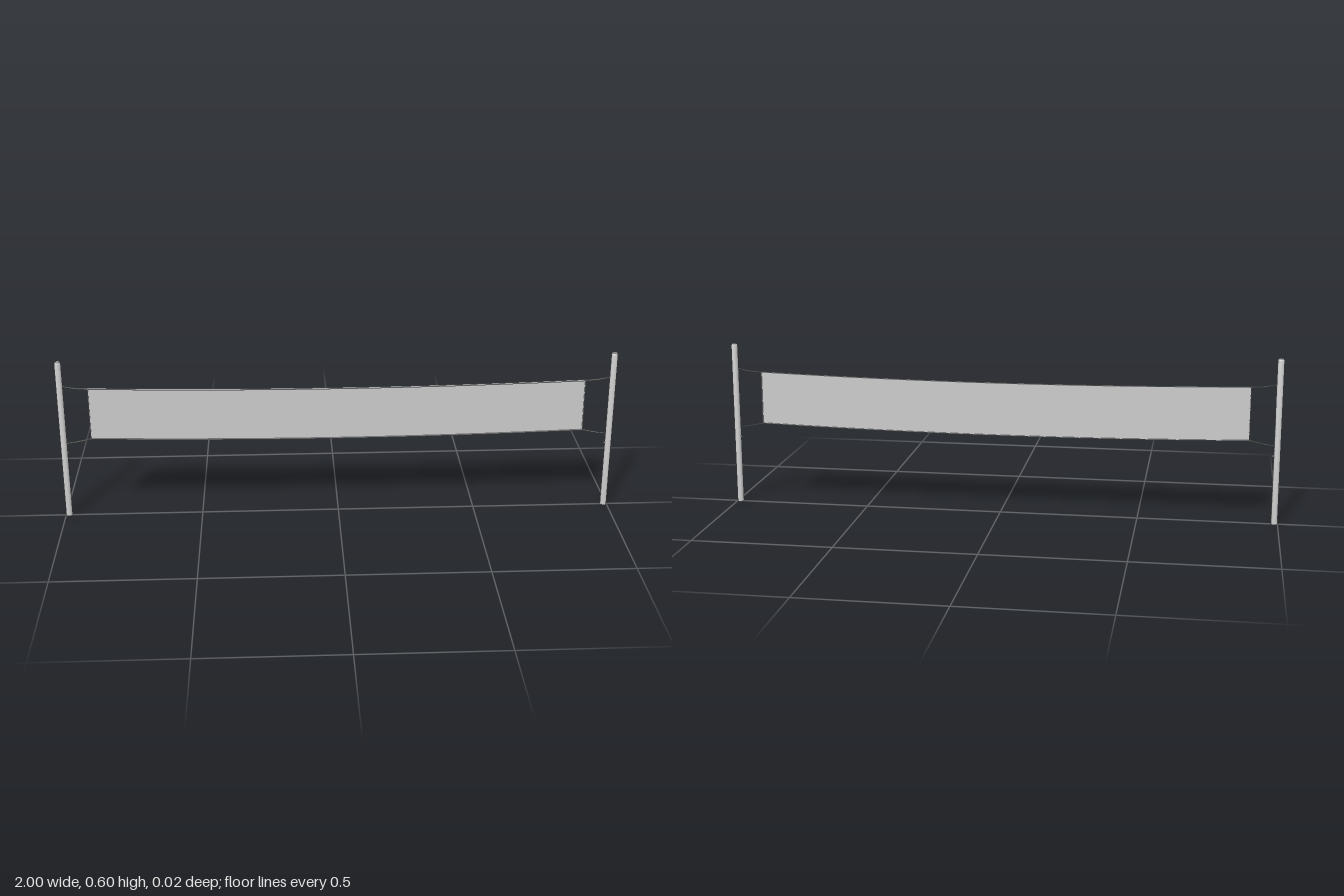
import * as THREE from 'three';
import { toCreasedNormals } from 'three/addons/utils/BufferGeometryUtils.js';

const HALF = 0.89;   // half length of the net
const DEPTH = 0.012; // width of the hems, front to back
const sag = (x) => 0.014 * (x / HALF) ** 2;

export function createModel() {
  const group = new THREE.Group();
  const material = new THREE.MeshStandardMaterial({ color: 0xcccccc });

  const add = (name, geometry, x = 0, y = 0, z = 0) => {
    const mesh = new THREE.Mesh(geometry, material);
    mesh.name = name;
    mesh.position.set(x, y, z);
    group.add(mesh);
    return mesh;
  };

  // Long box that hangs in a shallow curve between the posts
  const saggingBox = (height, depth, y) => {
    const geometry = new THREE.BoxGeometry(HALF * 2, height, depth, 16, 1, 1);
    const p = geometry.attributes.position;
    for (let i = 0; i < p.count; i++) p.setY(i, p.getY(i) + y + sag(p.getX(i)));
    geometry.computeVertexNormals();
    return geometry;
  };

  // Net sheet with a hem along its top and bottom
  add('net', saggingBox(0.192, 0.002, 0.386));
  add('topHem', saggingBox(0.002, DEPTH, 0.482));
  add('bottomHem', saggingBox(0.002, DEPTH, 0.29));

  // Post outline with a chamfered top
  const postProfile = [[0, 0], [0.012, 0], [0.012, 0.594], [0.009, 0.6], [0, 0.6]]
    .map(([r, y]) => new THREE.Vector2(r, y));
  const postGeometry = toCreasedNormals(new THREE.LatheGeometry(postProfile, 16), 0.5);

  for (const side of [1, -1]) {
    const label = side > 0 ? 'left' : 'right';
    add(label + 'Post', postGeometry, side * 0.988);
    add(label + 'SideHem', new THREE.BoxGeometry(0.002, 0.194, DEPTH), side * (HALF - 0.001), 0.4);

    // Doubled ropes, spreading from the post to both faces of the net
    const ropes = [
      ['TopRope', 0.507, 0.498, 0.495],
      ['BottomRope', 0.286, 0.294, 0.304],
    ];
    for (const [name, yPost, yMiddle, yNet] of ropes) {
      for (const face of [1, -1]) {
        const path = new THREE.CatmullRomCurve3([
          new THREE.Vector3(side * 0.98, yPost, face * 0.001),
          new THREE.Vector3(side * 0.93, yMiddle, face * 0.003),
          new THREE.Vector3(side * 0.885, yNet, face * 0.005),
        ]);
        add(label + name, new THREE.TubeGeometry(path, 10, 0.0016, 6));
      }
    }

    // Small cleat on the inner face of the post
    add(label + 'Cleat', new THREE.BoxGeometry(0.007, 0.005, 0.005), side * 0.9745, 0.25);
  }
  return group;
}
